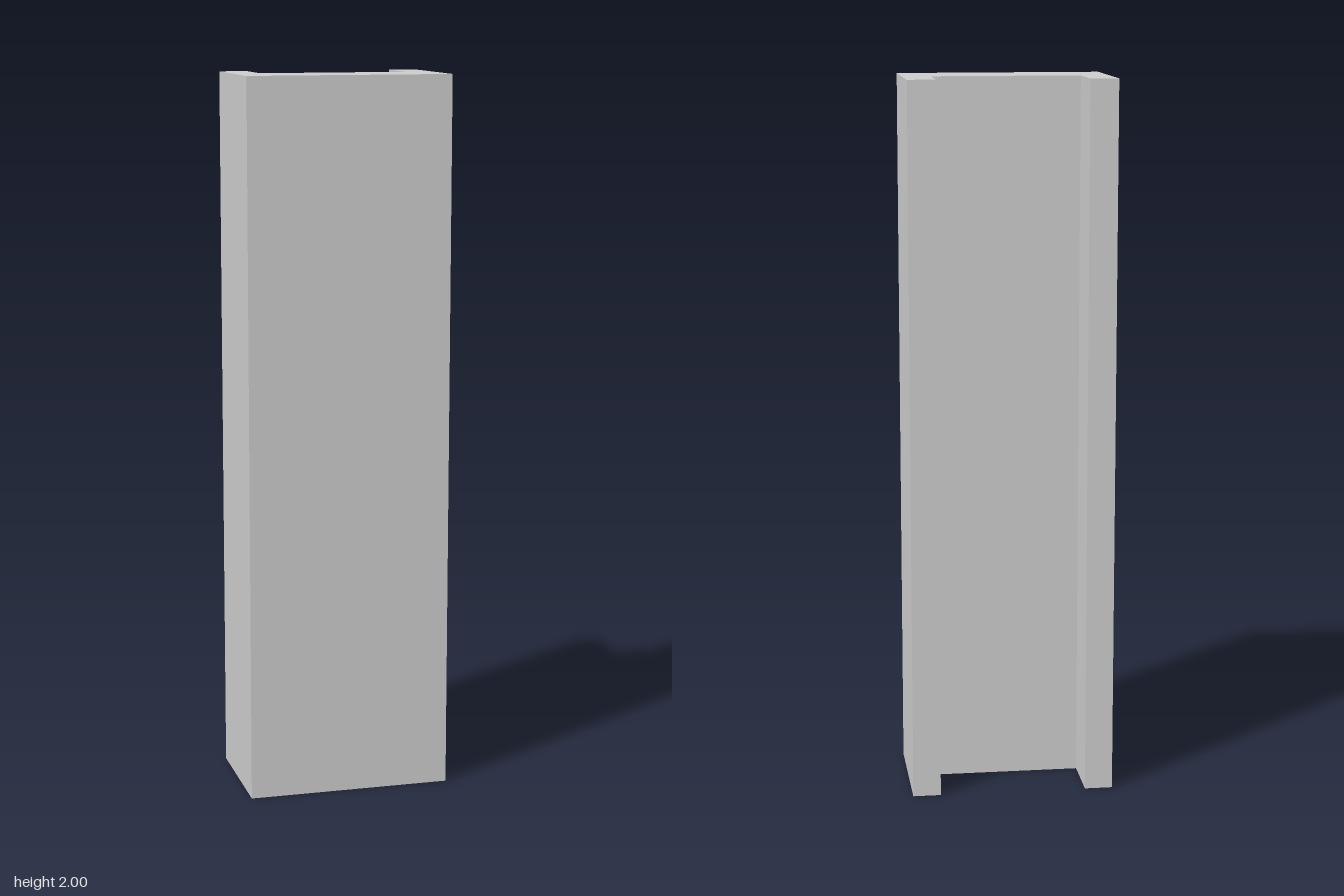
import * as THREE from 'three';

export function createModel() {
  const group = new THREE.Group();
  const material = new THREE.MeshStandardMaterial({ color: 0xcccccc, flatShading: true });

  const height = 2;
  const halfWidth = 0.284, halfDepth = 0.173;
  const innerHalfWidth = 0.206, webBack = 0.01;

  // U-shaped plan: thick web at the front, two flanges reaching back
  const plan = new THREE.Shape([
    [-halfWidth, -halfDepth], [halfWidth, -halfDepth],
    [halfWidth, halfDepth], [innerHalfWidth, halfDepth],
    [innerHalfWidth, webBack], [-innerHalfWidth, webBack],
    [-innerHalfWidth, halfDepth], [-halfWidth, halfDepth],
  ].map(([x, y]) => new THREE.Vector2(x, y)));

  // Extrude, then stand upright: plan y becomes -z, extrusion becomes +y
  const geometry = new THREE.ExtrudeGeometry(plan, { depth: height, bevelEnabled: false });
  geometry.rotateX(-Math.PI / 2);

  const channel = new THREE.Mesh(geometry, material);
  channel.name = 'channelPost';
  group.add(channel);
  return group;
}
